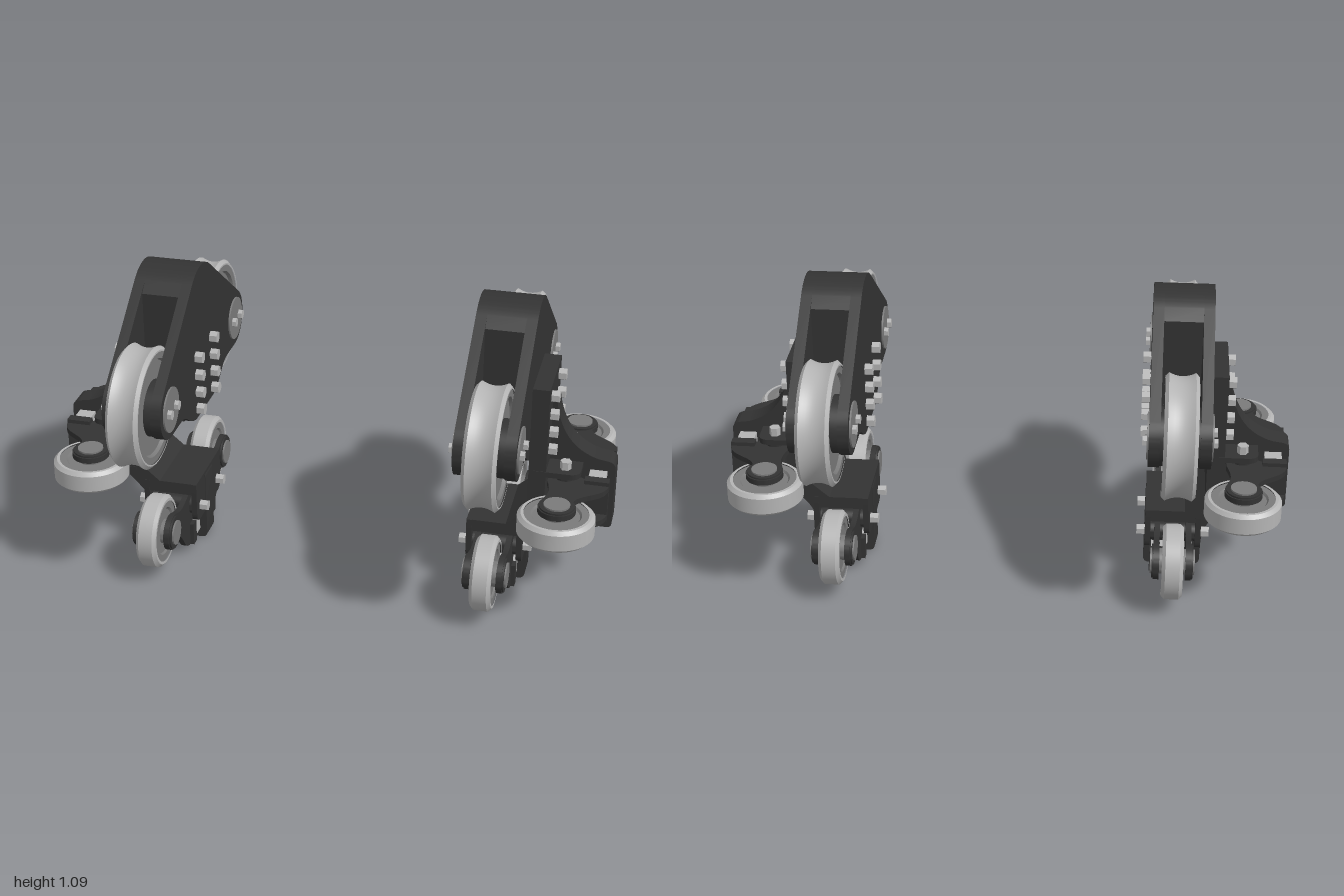
import * as THREE from 'three';
import { toCreasedNormals } from 'three/addons/utils/BufferGeometryUtils.js';

const mat = (name, color) => Object.assign(new THREE.MeshStandardMaterial({ color }), { name });
const STEEL = mat('dark steel', 0x333333);
const TYRE = mat('light grey', 0xb4b4b4);
const HUB = mat('mid grey', 0x7a7a7a);

const V = (x, y, z) => new THREE.Vector3(x, y, z);

function add(parent, name, geometry, material, x = 0, y = 0, z = 0) {
  const mesh = new THREE.Mesh(toCreasedNormals(geometry, 0.6), material);
  mesh.name = name;
  mesh.position.set(x, y, z);
  parent.add(mesh);
  return mesh;
}

// Group whose local axes point along the given directions
function frame(parent, name, X, Y, Z, pos) {
  const g = new THREE.Group();
  g.name = name;
  g.quaternion.setFromRotationMatrix(new THREE.Matrix4().makeBasis(X, Y, Z));
  g.position.copy(pos);
  parent.add(g);
  return g;
}

// Slab from z0 to z1
function slab(shape, z0, z1) {
  return new THREE.ExtrudeGeometry(shape, { depth: z1 - z0, bevelEnabled: false, curveSegments: 16 })
    .translate(0, 0, z0);
}

const poly = pts => new THREE.Shape(pts.map(p => new THREE.Vector2(...p)));
const disc = (r, len, sides = 40) => new THREE.CylinderGeometry(r, r, len, sides).rotateX(Math.PI / 2);
const lathe = pts => new THREE.LatheGeometry(pts.map(p => new THREE.Vector2(...p)), 64).rotateX(Math.PI / 2);

// Wheel turning about local z: tyre with optional hollow tread, and stepped hub
function wheel(parent, name, x, r, h, rim, dip) {
  const g = new THREE.Group();
  g.name = name;
  g.position.x = x;
  parent.add(g);
  const b = 0.012, ri = r - rim;
  const tread = [];
  for (let i = 0; i <= 8; i++) {
    const t = i / 4 - 1;
    tread.push([r - dip * (1 - t * t), t * (h - b)]);
  }
  add(g, 'tyre', lathe([[ri, -h], [r - b, -h], ...tread, [r - b, h], [ri, h]]), TYRE);
  const o = h - 0.004, n = h * 0.72;
  add(g, 'wheelHub', lathe([[0.001, -n], [ri - 0.03, -n], [ri - 0.024, -o], [ri + 0.001, -o],
    [ri + 0.001, o], [ri - 0.024, o], [ri - 0.03, n], [0.001, n]]), HUB);
}

// Triangular carrier outline for the two large wheels, around the axle height
function carrierShape() {
  const s = new THREE.Shape(), a = 0.94;
  s.absarc(0, 0.205, 0.17, a, Math.PI - a, false);
  s.absarc(-0.385, 0, 0.105, Math.PI - a, Math.PI * 1.5, false);
  s.lineTo(-0.27, -0.105);
  s.quadraticCurveTo(-0.235, -0.108, -0.2, -0.135);
  s.quadraticCurveTo(-0.15, -0.175, -0.1, -0.18);
  s.lineTo(0.1, -0.18);
  s.quadraticCurveTo(0.15, -0.175, 0.2, -0.135);
  s.quadraticCurveTo(0.235, -0.108, 0.27, -0.105);
  s.absarc(0.385, 0, 0.105, -Math.PI / 2, a, false);
  return s;
}

// Swinging arm outline, pivot near x = 0.1 and hub at x = 0.31
function armShape() {
  const s = new THREE.Shape();
  s.moveTo(0.1, -0.155);
  s.lineTo(0.135, -0.155);
  s.bezierCurveTo(0.21, -0.145, 0.21, -0.06, 0.268, -0.05);
  s.absarc(0.31, 0, 0.065, -2.27, 1.75, false);
  s.bezierCurveTo(0.25, 0.055, 0.24, 0.025, 0.14, 0.056);
  s.lineTo(0.08, 0.056);
  s.lineTo(0.06, 0);
  s.lineTo(0.1, -0.07);
  return s;
}

// Pair of small wheels on arms, with a buffer pad between the arm tips
function wheelPair(g, halfWidth) {
  const cheek = new THREE.Shape();
  cheek.moveTo(-0.145, 0.105);
  cheek.lineTo(-0.145, -0.015);
  cheek.quadraticCurveTo(-0.145, -0.055, -0.105, -0.055);
  cheek.lineTo(0.105, -0.055);
  cheek.quadraticCurveTo(0.145, -0.055, 0.145, -0.015);
  cheek.lineTo(0.145, 0.105);
  for (const w of [-1, 1]) {
    add(g, 'bracketCheek', slab(cheek, -0.01, 0.01), STEEL, 0, 0, w * 0.09);
    for (const s of [-1, 1])
      add(g, 'pivotBolt', disc(0.02, 0.03, 6), TYRE, s * 0.1, 0, w * 0.115);
  }
  add(g, 'bufferPad', new THREE.BoxGeometry(0.2, 0.06, 0.15), TYRE, 0, -0.11, 0);
  for (const s of [-1, 1]) {
    // The second side is the first one turned about the vertical axis
    const side = new THREE.Group();
    side.name = 'wheelArm';
    side.rotation.y = s < 0 ? Math.PI : 0;
    g.add(side);
    wheel(side, 'smallWheel', 0.31, 0.133, halfWidth, 0.022, 0);
    for (const w of [-1, 1]) {
      add(side, 'armPlate', slab(armShape(), -0.01, 0.01), STEEL, 0, 0, w * 0.056);
      add(side, 'hubBoss', disc(0.06, 0.012), STEEL, 0.31, 0, w * 0.066);
    }
    add(side, 'axle', disc(0.045, 0.156), HUB, 0.31, 0, 0);
    add(side, 'armTip', new THREE.BoxGeometry(0.035, 0.085, 0.16), STEEL, 0.1175, -0.1125, 0);
    add(side, 'pivotTube', disc(0.035, 0.16, 24), STEEL, 0.1, 0, 0);
  }
}

function buildBogie() {
  const bogie = new THREE.Group();
  bogie.name = 'wheelBogie';
  const back = V(0, 0, -1), up = V(0, 1, 0), out = V(1, 0, 0);

  // Large wheel carrier: two side plates and a solid centre block
  const top = frame(bogie, 'mainCarrier', back, up, out, V(0.605, 0.715, 0));
  add(top, 'innerSidePlate', slab(carrierShape(), -0.105, -0.067), STEEL);
  add(top, 'outerSidePlate', slab(carrierShape(), 0.067, 0.105), STEEL);
  const block = new THREE.Shape();
  block.moveTo(0.135, -0.18);
  block.lineTo(0.135, 0.307);
  block.absarc(0, 0.205, 0.17, 0.94, Math.PI - 0.94, false);
  block.lineTo(-0.135, 0.307);
  block.lineTo(-0.135, -0.18);
  add(top, 'centreBlock', slab(block, -0.068, 0.068), STEEL);
  for (const s of [-1, 1]) {
    wheel(top, 'largeWheel', s * 0.385, 0.215, 0.057, 0.018, 0.012);
    add(top, 'wheelSpacer', disc(0.1, 0.14), STEEL, s * 0.385, 0, 0);
    add(top, 'axleCap', disc(0.08, 0.222), HUB, s * 0.385, 0, 0);
    for (const w of [-1, 1]) {
      for (const d of [-0.038, 0.038])
        add(top, 'capBolt', disc(0.018, 0.016, 6), TYRE, s * 0.385 + d, 0, w * 0.118);
      for (const y of [0.06, -0.01, -0.078, -0.145])
        add(top, 'mountBolt', disc(0.022, 0.03, 6), TYRE, s * 0.088, y, w < 0 ? -0.118 : 0.178);
    }
  }

  // Wide bent bracket joining the carrier to both small wheel pairs
  add(bogie, 'mountBracket', slab(poly([[0.71, 0.82], [0.71, 0.34], [0.64, 0.28], [0.5, 0.28],
    [0.5, 0.235], [0.7, 0.235], [0.77, 0.31], [0.77, 0.82]]), -0.143, 0.143), STEEL);

  // Narrow curved rib along the outside of the bracket
  const rib = new THREE.Shape();
  rib.moveTo(0.72, 0.73);
  rib.lineTo(0.785, 0.73);
  rib.bezierCurveTo(0.8, 0.62, 0.85, 0.55, 0.94, 0.525);
  rib.lineTo(0.975, 0.52);
  rib.quadraticCurveTo(1, 0.515, 1, 0.49);
  rib.lineTo(1, 0.275);
  rib.quadraticCurveTo(1, 0.257, 0.98, 0.257);
  rib.lineTo(0.87, 0.257);
  rib.bezierCurveTo(0.77, 0.25, 0.715, 0.19, 0.705, 0.1);
  rib.lineTo(0.703, 0.02);
  rib.quadraticCurveTo(0.7, 0, 0.68, 0);
  rib.lineTo(0.52, 0);
  rib.quadraticCurveTo(0.498, 0, 0.498, 0.025);
  rib.lineTo(0.498, 0.26);
  rib.quadraticCurveTo(0.5, 0.28, 0.52, 0.28);
  rib.lineTo(0.64, 0.28);
  rib.lineTo(0.72, 0.345);
  add(bogie, 'curvedRib', slab(rib, -0.042, 0.042), STEEL);

  // Lower pair rolls upright, side pair lies flat
  wheelPair(frame(bogie, 'lowerWheelPair', back, up, out, V(0.6, 0.175, 0)), 0.037);
  wheelPair(frame(bogie, 'sideWheelPair', V(0, 0, 1), V(-1, 0, 0), V(0, -1, 0), V(0.833, 0.407, 0)), 0.041);
  return bogie;
}

export function createModel() {
  const model = new THREE.Group();
  model.name = 'wheelBogiePair';
  const left = buildBogie(), right = buildBogie();
  left.name = 'leftBogie';
  right.name = 'rightBogie';
  // Each bogie is symmetric front to back, so half a turn mirrors it
  right.rotation.y = Math.PI;
  model.add(left, right);
  return model;
}
